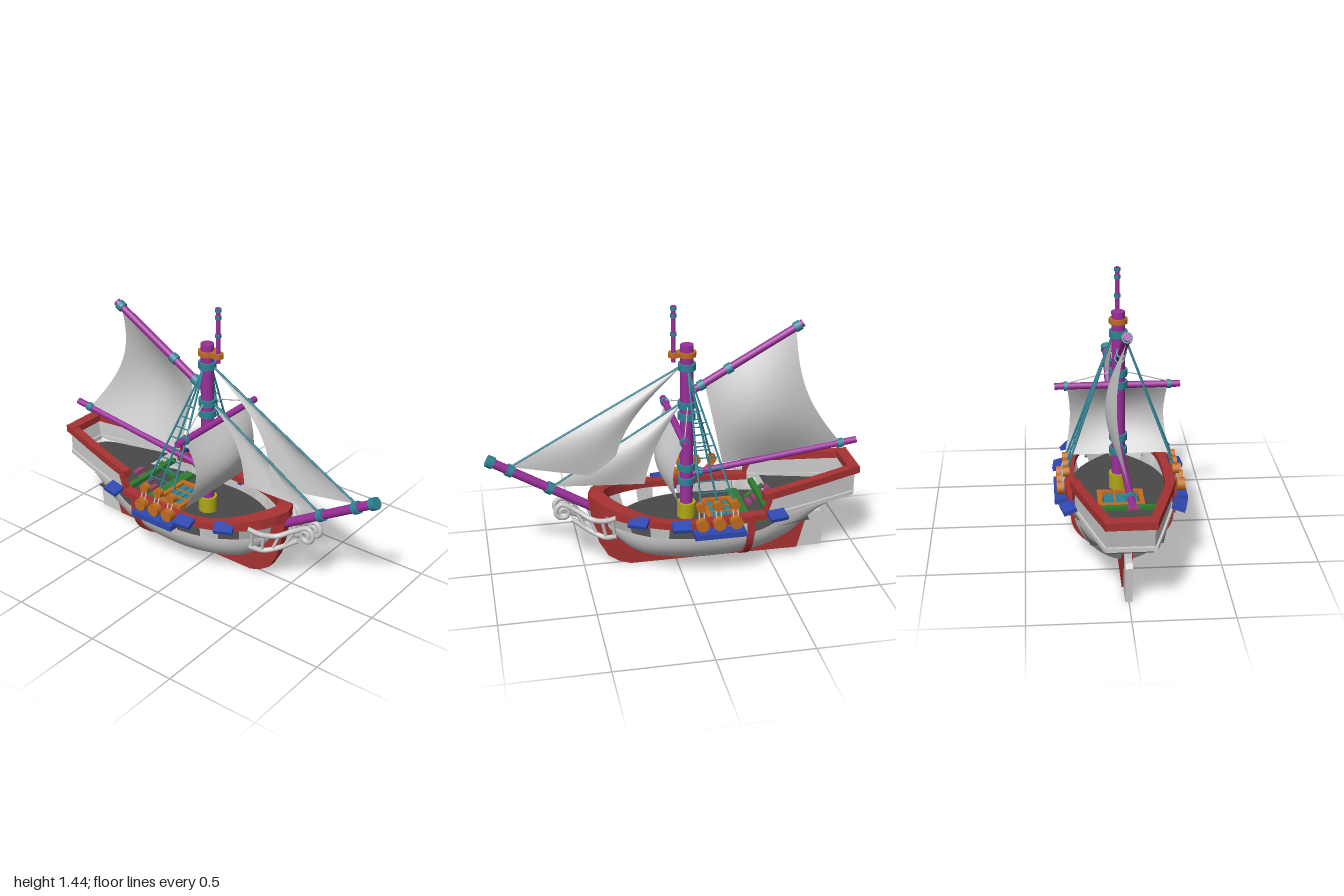
import * as THREE from 'three';

const RED = 0xa83232, PURPLE = 0x9a2f9a, TEAL = 0x2f8496, ORANGE = 0xc06c20, BLUE = 0x2f48b0,
  GREEN = 0x2f7d30, YELLOW = 0xb0a814, PINK = 0x9b4070, GREY = 0xcccccc, DARK = 0x484848;
const V = (x, y, z) => new THREE.Vector3(x, y, z);

// Smooth table lookup along z
function table(pairs) {
  const f = new THREE.CubicInterpolant(new Float32Array(pairs.map(p => p[0])), new Float32Array(pairs.map(p => p[1])), 1, new Float32Array(1));
  return z => f.evaluate(z)[0];
}
const waleW = table([[-0.95, 0.1], [-0.75, 0.165], [-0.43, 0.235], [-0.2, 0.262], [0, 0.26], [0.15, 0.215], [0.25, 0.15], [0.32, 0.085], [0.37, 0.025]]);
const waleY = table([[-0.95, 0.36], [-0.75, 0.33], [-0.55, 0.3], [-0.42, 0.252], [0, 0.25], [0.37, 0.25]]);
const keelY = table([[-0.95, 0.345], [-0.75, 0.26], [-0.6, 0.11], [-0.34, 0.04], [0.04, 0.045], [0.25, 0.1], [0.37, 0.22]]);
const railW = table([[-0.97, 0.1], [-0.7, 0.175], [-0.43, 0.24], [-0.2, 0.26], [0, 0.26], [0.15, 0.235], [0.3, 0.165], [0.37, 0.11], [0.41, 0.055]]);
const railY = table([[-0.45, 0.342], [-0.2, 0.338], [0, 0.335], [0.2, 0.355], [0.3, 0.375], [0.42, 0.402]]);
const poopY = z => 0.45 - (z + 0.42) * 0.08;
const range = (a, b, n) => Array.from({ length: n + 1 }, (_, i) => a + (b - a) * i / n);

// Skin a list of equally long cross-sections
function loft(rings, closed = false) {
  const n = rings[0].length, idx = [], last = (rings.length - 1) * n;
  for (let i = 0; i < rings.length - 1; i++)
    for (let j = 0; j < (closed ? n : n - 1); j++) {
      const a = i * n + j, b = i * n + (j + 1) % n;
      idx.push(a, b, a + n, b, b + n, a + n);
    }
  if (closed) for (let j = 1; j < n - 1; j++) idx.push(0, j + 1, j, last, last + j, last + j + 1);
  const g = new THREE.BufferGeometry().setFromPoints(rings.flat());
  g.setIndex(idx);
  g.computeVertexNormals();
  return g;
}

// Rectangular moulding swept along points
function band(pts, w, h) {
  return loft(pts.map((p, i) => {
    const t = pts[Math.min(i + 1, pts.length - 1)].clone().sub(pts[Math.max(i - 1, 0)]);
    const n = V(t.z, 0, -t.x).normalize(), ww = (typeof w === 'function' ? w(p) : w) / 2;
    const hh = (typeof h === 'function' ? h(p) : h) / 2;
    return [[1, 1], [1, -1], [-1, -1], [-1, 1]].map(([a, b]) => p.clone().addScaledVector(n, a * ww).add(V(0, b * hh, 0)));
  }), true);
}

// Point on the hull skin: t from -1 (right wale) over the keel to 1 (left wale)
function hullPoint(z, t, out = 0) {
  const a = Math.abs(t) * Math.PI / 2, k = keelY(z);
  return V(Math.sign(t) * (waleW(z) + out) * Math.pow(Math.sin(a), 1.12), k - out + (waleY(z) - k + out) * (1 - Math.cos(a)), z);
}

export function createModel() {
  const root = new THREE.Group();
  function add(name, geo, color = GREY, opt = {}) {
    const m = new THREE.Mesh(geo, new THREE.MeshStandardMaterial({ color, ...opt }));
    m.name = name;
    root.add(m);
    return m;
  }
  const two = { side: THREE.DoubleSide }, flat = { side: THREE.DoubleSide, flatShading: true };
  const box = (name, w, h, d, x, y, z, color) => {
    const m = add(name, new THREE.BoxGeometry(w, h, d), color);
    m.position.set(x, y, z);
    return m;
  };
  const rod = (name, a, b, r, color, sides = 12) => {
    const m = add(name, new THREE.CylinderGeometry(r, r, a.distanceTo(b), sides), color);
    m.position.copy(a).lerp(b, 0.5);
    m.quaternion.setFromUnitVectors(V(0, 1, 0), b.clone().sub(a).normalize());
    return m;
  };
  // Spar with metal hoops at fractions of its length
  const spar = (name, a, b, r, hoops, len = 0.035) => {
    rod(name, a, b, r, PURPLE, 16);
    const d = b.clone().sub(a).normalize().multiplyScalar(len / 2);
    for (const f of hoops) {
      const c = a.clone().lerp(b, f);
      rod(name + 'Hoop', c.clone().sub(d), c.clone().add(d), r * 1.35, TEAL, 16);
    }
  };
  const plate = (name, pts, depth, color) => {
    const g = new THREE.ExtrudeGeometry(new THREE.Shape(pts.map(p => new THREE.Vector2(...p))), { depth, bevelEnabled: false });
    return add(name, g.translate(0, 0, -depth / 2).rotateY(-Math.PI / 2), color);
  };
  // Cloth patch with curved edges (e0, e1) and a belly
  const sail = (name, t0, t1, b0, b1, e0, e1, belly) => add(name, loft(range(0, 1, 16).map(v => range(0, 1, 14).map(u => {
    const s = Math.sin(Math.PI * v), p = t0.clone().lerp(t1, u).lerp(b0.clone().lerp(b1, u), v);
    return p.addScaledVector(e0, (1 - u) * s).addScaledVector(e1, u * s).addScaledVector(belly, Math.sin(Math.PI * u) * s);
  }))), GREY, two);

  // Hull, decks and backbone
  add('hull', loft(range(-0.95, 0.37, 40).map(z => range(-1, 1, 24).map(t => hullPoint(z, t)))), GREY, two);
  add('deck', loft(range(-0.7, 0.37, 24).map(z => [-1, 1].map(s => V(s * waleW(z) * 0.99, 0.25, z)))), DARK, two);
  add('poopDeck', loft(range(-0.95, -0.52, 8).map(z => [-1, 1].map(s => V(s * railW(z) * 0.98, 0.34, z)))), DARK, two);
  plate('keel', [[0.47, 0.4], [0.45, 0.27], [0.42, 0.15], [0.37, 0.06], [0.31, 0.02], [0.25, 0], [-0.68, 0], [-0.75, 0.27],
    [-0.6, 0.2], [0, 0.15], [0.3, 0.2], [0.37, 0.38]], 0.05, RED);
  plate('rudder', [[-0.68, 0], [-0.82, 0], [-0.837, 0.19], [-0.815, 0.21], [-0.77, 0.21], [-0.76, 0.27], [-0.75, 0.27]], 0.035, GREY);
  add('hullRib', loft(range(-1, 1, 20).map(t => [[-0.018, 0.014], [0.018, 0.014], [0.018, -0.01], [-0.018, -0.01]].map(([dz, out]) => {
    const p = hullPoint(-0.335, t, out);
    p.z += dz - 0.02 * Math.abs(t);
    return p;
  })), true), RED, flat);
  for (const s of [1, -1]) box('ribHead', 0.02, 0.1, 0.036, s * 0.262, 0.295, -0.355, RED);

  // Bulwarks with open gun ports, flaring towards the bow
  const topZ = z => z + Math.max(0, z - 0.1) * 0.15;
  for (const s of [1, -1]) {
    for (const [a, b] of [[0.26, 0.37], [0.08, 0.17], [-0.37, -0.06]])
      add('bulwark', loft(range(a, b, 8).map(z => [V(s * waleW(z), waleY(z), z), V(s * railW(topZ(z)), railY(topZ(z)), topZ(z))])), GREY, two);
    add('poopLowerSide', loft(range(-0.95, -0.5, 10).map(z => [V(s * waleW(z), waleY(z), z), V(s * railW(z), 0.365, z)])), GREY, two);
    add('poopSide', loft(range(0, 1, 10).map(f => range(0, 1, 2).map(v => {
      const z = -0.43 - 0.53 * f - 0.03 * v * (1 - f);
      return V(s * (railW(z) + 0.008), 0.35 + (poopY(z) - 0.35) * v, z);
    }))), GREY, two);
    add('poopMoulding', band(range(-0.95, -0.45, 10).map(z => V(s * (railW(z) + 0.008), 0.335 - (z + 0.45) * 0.05, z)), 0.024, 0.022), GREY, flat);
    add('poopRail', band(range(-0.98, -0.42, 10).map(z => V(s * railW(z), poopY(z), z)), 0.045, 0.04), RED, flat);
    add('railStep', band([V(s * 0.238, 0.345, -0.43), V(s * 0.236, 0.44, -0.465)], 0.04, 0.04), RED, flat);
  }
  add('transom', loft([[0.35, -0.94], [0.49, -0.968]].map(([y, z]) => [-1, 1].map(s => V(s * 0.112, y, z)))), GREY, two);
  box('transomMoulding', 0.23, 0.022, 0.024, 0, 0.36, -0.945, GREY);
  box('sternRail', 0.245, 0.04, 0.06, 0, 0.495, -0.952, RED);
  const half = range(-0.45, 0.41, 24).map(z => V(railW(z), railY(z), z));
  const bow = z => THREE.MathUtils.smoothstep(z, 0.1, 0.42);
  add('mainRail', band([...half, V(0, 0.403, 0.43), ...half.map(p => V(-p.x, p.y, p.z)).reverse()],
    p => 0.056 + 0.024 * bow(p.z), p => 0.036 + 0.024 * bow(p.z)), RED, flat);

  // Port lids and channels on both sides
  for (const s of [1, -1]) {
    for (const [z, y] of [[-0.49, 0.35], [0.025, 0.35], [0.24, 0.365]]) {
      const lid = box('portLid', 0.07, 0.022, 0.1, s * (railW(z) + 0.05), y, z, BLUE);
      lid.rotation.set(0, s * Math.atan((railW(z + 0.02) - railW(z - 0.02)) / 0.04), -s * 0.3);
    }
    box('channel', 0.075, 0.03, 0.27, s * 0.305, 0.293, -0.175, BLUE);
  }

  // Deck fittings
  for (const s of [1, -1]) {
    box('hatchSide', 0.025, 0.03, 0.17, s * 0.108, 0.265, -0.245, ORANGE);
    box('hatchEnd', 0.24, 0.03, 0.025, 0, 0.265, -0.245 + s * 0.075, ORANGE);
  }
  for (const i of [-1, 0, 1]) {
    for (const j of [-1, 0, 1]) box('hatchPane', 0.052, 0.012, 0.034, i * 0.062, 0.263, -0.245 + j * 0.042, TEAL);
    if (i) box('hatchBar', 0.01, 0.024, 0.14, i * 0.031, 0.262, -0.245, ORANGE);
  }
  box('crossPlank', 0.44, 0.02, 0.06, 0, 0.262, -0.36, GREEN);
  box('poopBeam', 0.4, 0.025, 0.03, 0, 0.325, -0.465, GREEN);
  for (const x of [-0.15, 0.15]) box('poopBrace', 0.025, 0.02, 0.12, x, 0.28, -0.475, GREEN).rotation.x = 0.6;
  for (let i = 0; i < 4; i++) box('step', 0.06, 0.014, 0.03, -0.045, 0.275 + i * 0.025, -0.415 - i * 0.033, PINK);

  // Masts
  const MZ = -0.06;
  spar('mast', V(0, 0.25, MZ), V(0, 1.23, MZ), 0.035, [0.22, 0.3, 0.6, 0.665, 0.88], 0.036);
  rod('mastStep', V(0, 0.24, MZ), V(0, 0.335, MZ), 0.05, YELLOW, 20);
  spar('topmast', V(0, 1.14, 0.01), V(0, 1.44, 0.01), 0.012, [0.15, 0.5, 0.83, 0.96], 0.018);
  for (const [z, r] of [[MZ, 0.048], [0.01, 0.028]]) rod('mastCap', V(0, 1.168, z), V(0, 1.194, z), r, ORANGE, 20);
  box('mastCapBridge', 0.05, 0.026, 0.07, 0, 1.181, -0.02, ORANGE);

  // Spars
  spar('yard', V(-0.328, 0.805, 0.005), V(0.328, 0.805, 0.005), 0.018, [0.09, 0.91], 0.02);
  spar('bowsprit', V(0, 0.3, 0.36), V(0, 0.67, 0.98), 0.024, [0.5, 0.825, 0.98]);
  spar('gaff', V(0, 0.975, -0.09), V(0, 1.305, -0.67), 0.02, [0.08, 0.33, 0.95]);
  spar('boom', V(0, 0.5, -0.09), V(0, 0.617, -0.995), 0.018, [0.04, 0.9]);

  // Sails
  sail('squareSail', V(-0.262, 0.79, 0.01), V(0.262, 0.79, 0.01), V(-0.28, 0.41, 0.01), V(0.28, 0.41, 0.01),
    V(0.022, 0, 0.05), V(-0.022, 0, 0.05), V(0, 0, 0.045));
  sail('jib', V(0, 1.11, -0.02), V(0, 1.1, -0.02), V(0, 0.625, 0.87), V(0.02, 0.52, 0.345), V(0, 0, 0), V(0.02, 0.01, 0.085), V(0.03, 0, 0));
  sail('staysail', V(0, 0.9, -0.02), V(0, 0.89, -0.02), V(0, 0.49, 0.66), V(0.02, 0.47, 0.17), V(0, 0, 0), V(0.02, 0, 0.035), V(0.03, 0, 0));
  sail('spanker', V(0, 1.0, -0.155), V(0, 1.27, -0.635), V(0, 0.545, -0.255), V(0, 0.615, -0.9),
    V(0.02, 0, 0), V(0.05, 0, 0.075), V(0.055, 0, 0));

  // Stays and lifts
  rod('forestay', V(0, 1.115, -0.03), V(0, 0.62, 0.875), 0.006, TEAL, 6);
  rod('innerStay', V(0, 0.91, -0.03), V(0, 0.485, 0.665), 0.006, TEAL, 6);

  // Shrouds, ratlines and deadeyes
  for (const s of [1, -1]) {
    rod('yardLift', V(s * 0.03, 0.905, MZ), V(s * 0.265, 0.82, 0.005), 0.003, GREY, 5);
    const head = V(s * 0.03, 1.1, MZ), feet = [-0.08, -0.17, -0.26].map(z => V(s * 0.28, 0.44, z));
    feet.forEach(f => {
      rod('shroud', head, f, 0.0055, TEAL, 6);
      rod('upperDeadeye', f.clone().add(V(-0.017, 0, 0)), f.clone().add(V(0.017, 0, 0)), 0.026, ORANGE, 14);
      const low = V(s * 0.31, 0.352, f.z - 0.002);
      rod('lowerDeadeye', low.clone().add(V(-0.02, 0, 0)), low.clone().add(V(0.02, 0, 0)), 0.034, ORANGE, 14);
      for (const d of [-0.013, 0.013]) rod('lanyard', f.clone().add(V(0, 0, d)), low.clone().add(V(0, 0, d)), 0.004, GREY, 5);
    });
    for (const t of range(0.3, 0.9, 7)) rod('ratline', head.clone().lerp(feet[0], t), head.clone().lerp(feet[2], t), 0.0035, TEAL, 5);
  }

  // Scrolled head rails at the bow
  for (const s of [1, -1]) {
    const spiral = range(0, 1, 14).map(f => {
      const a = Math.PI * (0.45 - 2.6 * f), r = 0.045 - 0.032 * f;
      return V(s * 0.035, 0.355 + Math.sin(a) * r, 0.605 + Math.cos(a) * r);
    });
    const upper = new THREE.CatmullRomCurve3([V(s * 0.185, 0.37, 0.345), V(s * 0.15, 0.34, 0.4), V(s * 0.095, 0.325, 0.46), V(s * 0.05, 0.365, 0.54), ...spiral]);
    const lower = new THREE.CatmullRomCurve3([V(s * 0.17, 0.255, 0.34), V(s * 0.12, 0.228, 0.4), V(s * 0.075, 0.25, 0.47), V(s * 0.04, 0.31, 0.56)]);
    add('headRail', new THREE.TubeGeometry(upper, 90, 0.014, 8));
    add('lowerHeadRail', new THREE.TubeGeometry(lower, 30, 0.014, 8));
    for (const f of [0.08, 0.3, 0.52, 0.74]) rod('headRailPost', lower.getPoint(f), upper.getPoint(f * 0.235), 0.009, GREY, 8);
  }
  return root;
}
